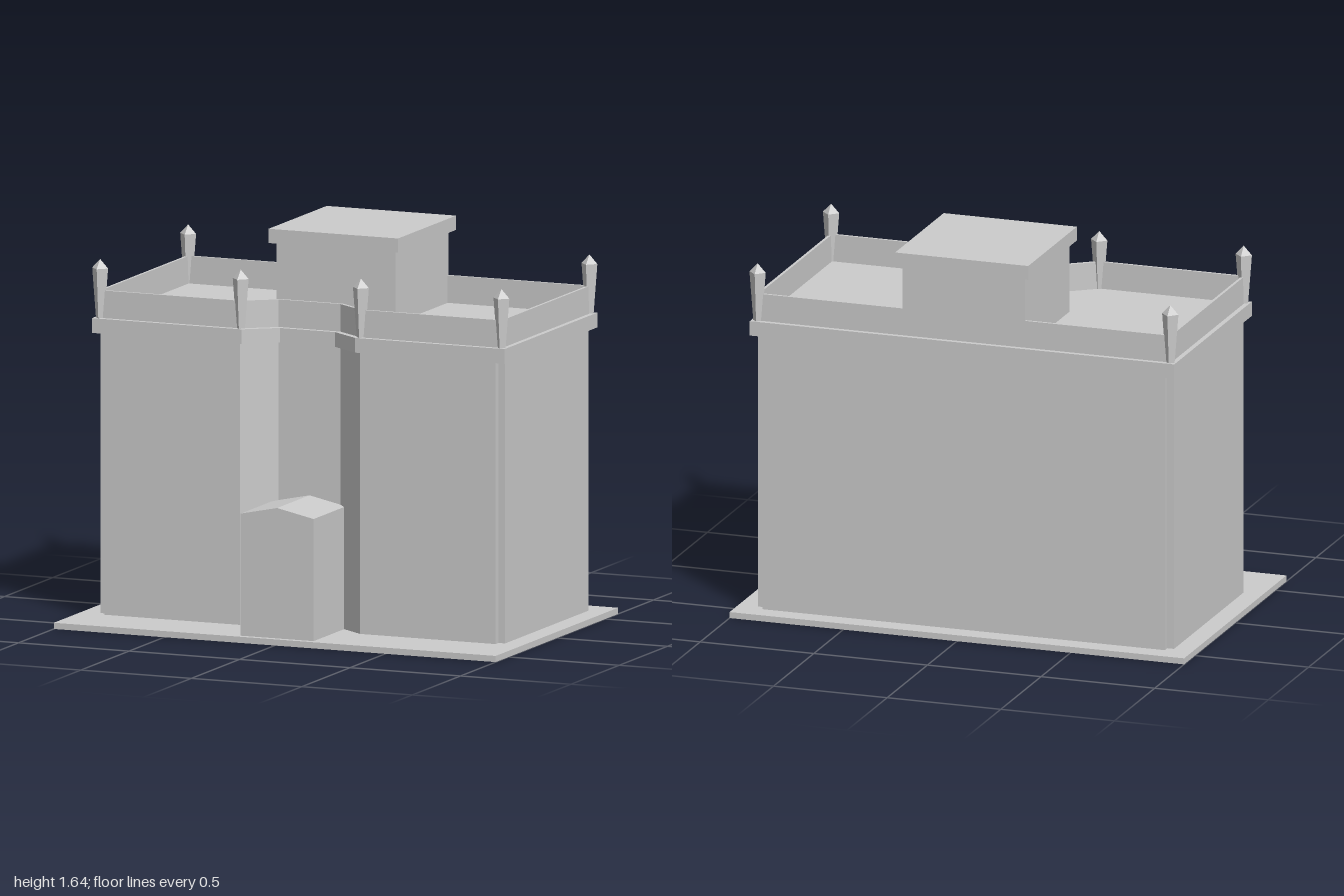
import * as THREE from 'three';

const material = new THREE.MeshStandardMaterial({ color: 0xcccccc, flatShading: true });

// Mirrors a half outline of [x, z] points (front centre to back) into a closed loop
const mirror = (half) => [...half, ...half.map(([x, z]) => [-x, z]).reverse()];

// Plan outline with the front recess, offset outwards by d
function outline(d) {
  return mirror([
    [0.14 - d * 0.7, 0.275 + d],
    [0.272 - d * 0.7, 0.37 + d],
    [0.913 + d, 0.37 + d],
    [0.913 + d, -0.55 - d],
  ]);
}

// Wall plan: the same outline with small square notches at the outer corners
const n = 0.03;
const wallPlan = mirror([
  [0.14, 0.275], [0.272, 0.373],
  [0.915 - n, 0.373], [0.915 - n, 0.373 - n], [0.915, 0.373 - n],
  [0.915, -0.55 + n], [0.915 - n, -0.55 + n], [0.915 - n, -0.55],
]);

// Upright prism from a plan, with an optional hole
function prism(plan, y0, y1, hole) {
  const points = (list) => list.map(([x, z]) => new THREE.Vector2(x, -z));
  const shape = new THREE.Shape(points(plan));
  if (hole) shape.holes.push(new THREE.Path(points(hole)));
  return new THREE.ExtrudeGeometry(shape, { depth: y1 - y0, bevelEnabled: false })
    .rotateX(-Math.PI / 2)
    .translate(0, y0, 0);
}

const rect = (x, z0, z1) => mirror([[x, z1], [x, z0]]);

export function createModel() {
  const model = new THREE.Group();
  const add = (name, geometry, parent = model) => {
    const mesh = new THREE.Mesh(geometry, material);
    mesh.name = name;
    parent.add(mesh);
    return mesh;
  };

  // Ground plate, open beneath the building
  add('groundPlate', prism(rect(1, -0.635, 0.635), 0, 0.026, wallPlan));

  // Main body, cornice with roof deck, and thin parapet
  add('walls', prism(wallPlan, 0.026, 1.215));
  add('cornice', prism(outline(0.021), 1.212, 1.274));
  add('parapet', prism(outline(0), 1.27, 1.39, outline(-0.012)));

  // Rooftop block and its slab
  add('roofBlock', prism(rect(0.27, -0.55, 0), 1.27, 1.58));
  add('roofBlockCap', prism(rect(0.293, -0.575, 0.028), 1.577, 1.637));

  // Porch with a shallow gable, running back into the recess
  const gable = new THREE.Shape([
    [-0.165, 0.026], [0.165, 0.026], [0.165, 0.54], [0, 0.575], [-0.165, 0.54],
  ].map(([x, y]) => new THREE.Vector2(x, y)));
  add('porch', new THREE.ExtrudeGeometry(gable, { depth: 0.345, bevelEnabled: false })
    .translate(0, 0, 0.265));

  // Four-sided finials on the corners and beside the recess
  const shaft = new THREE.CylinderGeometry(0.036, 0.019, 0.21, 4).translate(0, 0.105, 0);
  const tip = new THREE.ConeGeometry(0.036, 0.038, 4).translate(0, 0.229, 0);
  for (const [x, z] of [[0.908, 0.365], [0.272, 0.365], [0.908, -0.547]]) {
    for (const side of [1, -1]) {
      const finial = new THREE.Group();
      finial.name = 'finial';
      finial.position.set(side * x, 1.273, z);
      add('finialShaft', shaft, finial);
      add('finialTip', tip, finial);
      model.add(finial);
    }
  }
  return model;
}
